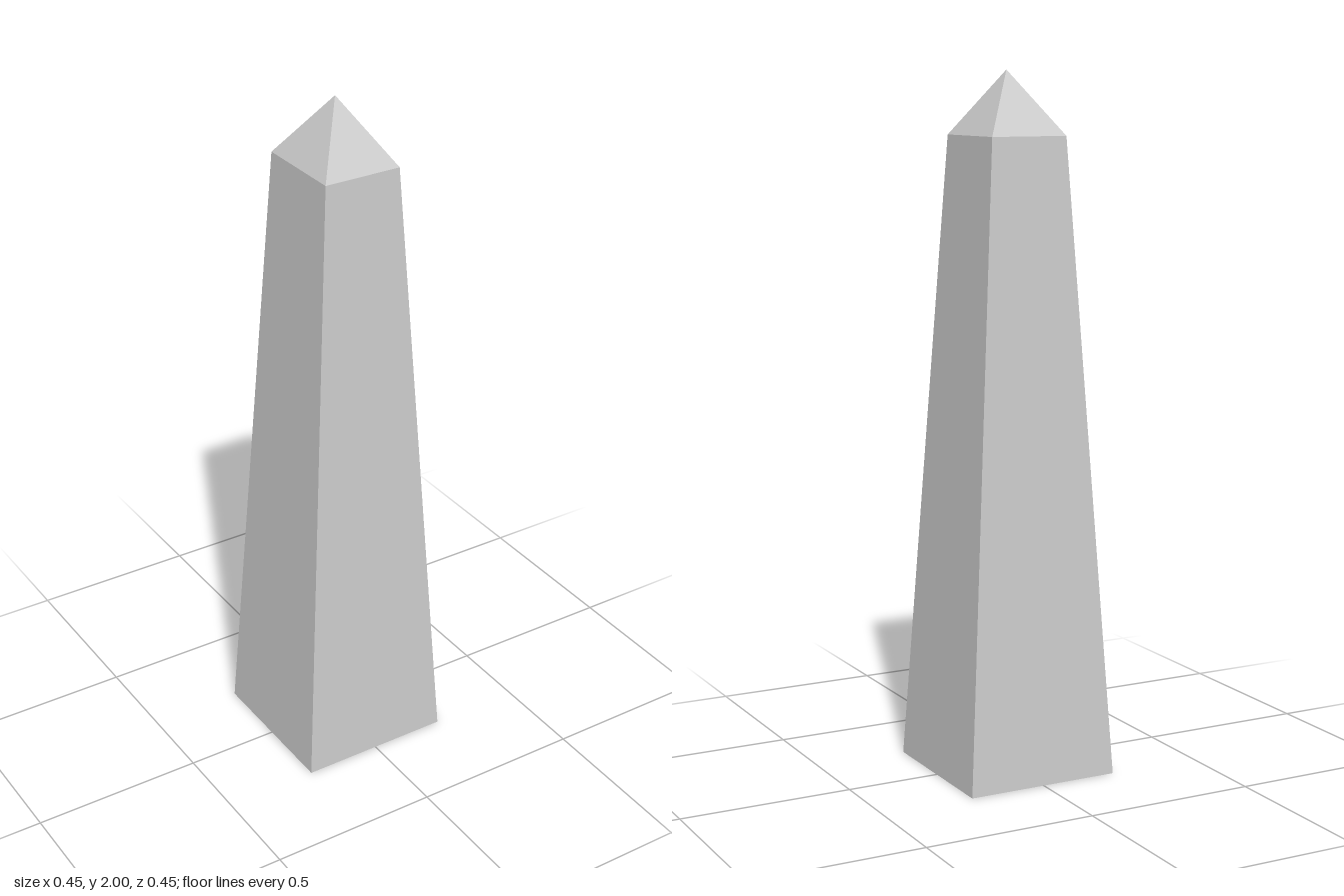
import * as THREE from 'three';

const HEIGHT = 2, SHOULDER = 1.82;
const BASE = 0.227;             // half width of the square foot
const TOP_X = 0.115, TOP_Z = 0.136; // half widths at the shoulder

function flatMesh(name, geometry) {
  const flat = geometry.toNonIndexed();
  flat.computeVertexNormals();
  const mesh = new THREE.Mesh(flat, new THREE.MeshStandardMaterial({ color: 0xcccccc, flatShading: true }));
  mesh.name = name;
  return mesh;
}

// Four-sided shaft, narrowing more in x than in z
function shaftGeometry() {
  const geometry = new THREE.BoxGeometry(2, SHOULDER, 2).translate(0, SHOULDER / 2, 0);
  const p = geometry.attributes.position;
  for (let i = 0; i < p.count; i++) {
    const t = p.getY(i) / SHOULDER;
    p.setX(i, p.getX(i) * THREE.MathUtils.lerp(BASE, TOP_X, t));
    p.setZ(i, p.getZ(i) * THREE.MathUtils.lerp(BASE, TOP_Z, t));
  }
  return geometry;
}

// Pyramid cap, open below where it meets the shaft
function capGeometry() {
  const h = HEIGHT - SHOULDER;
  return new THREE.ConeGeometry(Math.SQRT2, h, 4, 1, true)
    .rotateY(Math.PI / 4)
    .scale(TOP_X, 1, TOP_Z)
    .translate(0, SHOULDER + h / 2, 0);
}

export function createModel() {
  const group = new THREE.Group();
  group.name = 'obelisk';
  group.add(flatMesh('shaft', shaftGeometry()), flatMesh('pyramidCap', capGeometry()));
  return group;
}
